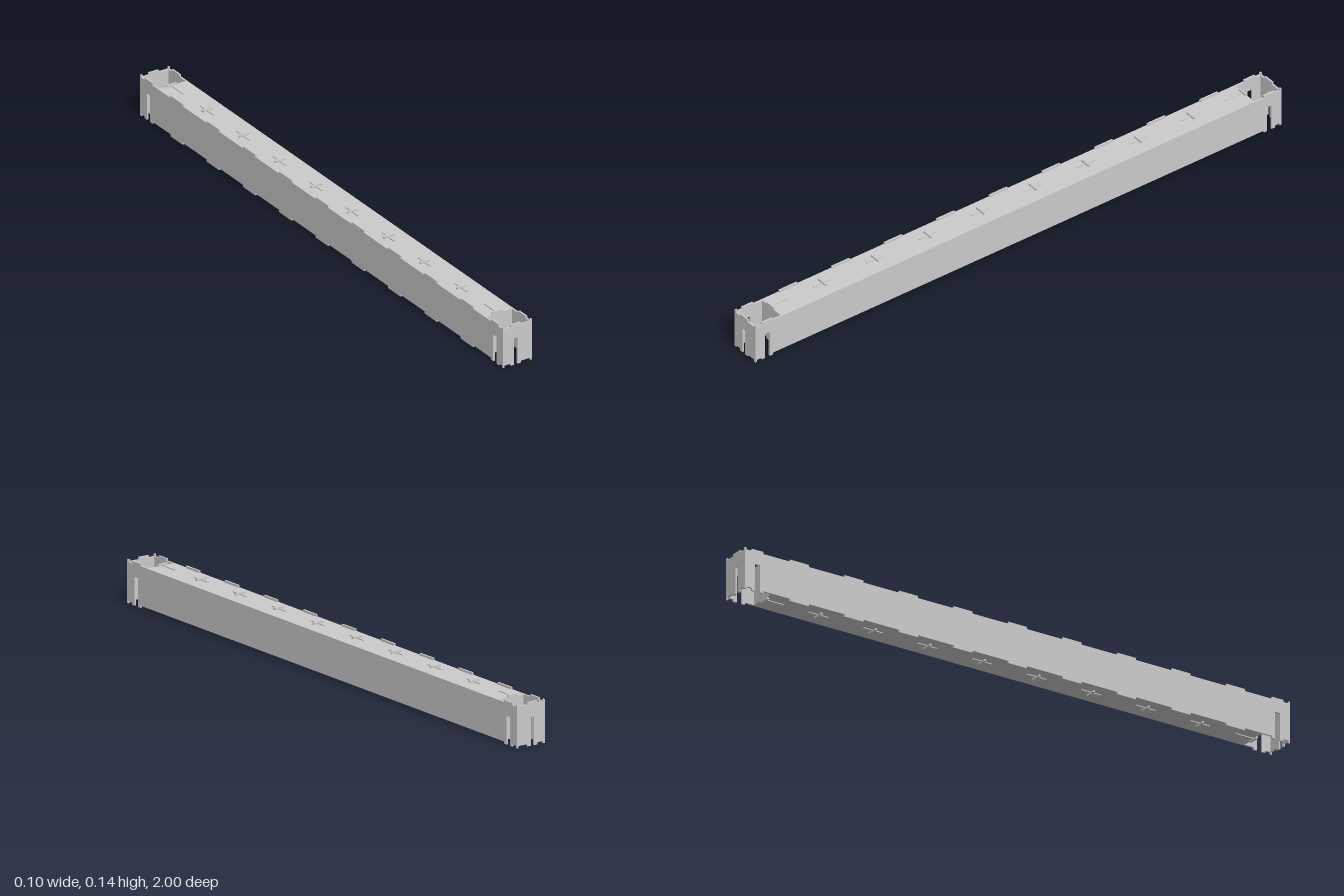
import * as THREE from 'three';

const T = 0.006;               // sheet thickness
const LOW = 0.007, HIGH = 0.132, TOP = 0.139, SLOT_TOP = 0.091;
const W = 0.0525;              // half width
const material = new THREE.MeshStandardMaterial({ color: 0xcccccc, flatShading: true });

// Upright sheet with the same tabs above and below, and slots cut up from the bottom.
// tabs and slots are [start, end] pairs, sorted; every slot lies inside a tab.
function sheet(half, tabs, slots) {
  const s = new THREE.Shape();
  s.moveTo(-half, LOW);
  for (const [a, b] of tabs) {
    s.lineTo(a, LOW);
    s.lineTo(a, 0);
    for (const [c, d] of slots.filter(([c, d]) => c > a && d < b)) {
      s.lineTo(c, 0);
      s.lineTo(c, SLOT_TOP);
      s.lineTo(d, SLOT_TOP);
      s.lineTo(d, 0);
    }
    s.lineTo(b, 0);
    s.lineTo(b, LOW);
  }
  s.lineTo(half, LOW);
  s.lineTo(half, HIGH);
  for (const [a, b] of [...tabs].reverse()) {
    s.lineTo(b, HIGH);
    s.lineTo(b, TOP);
    s.lineTo(a, TOP);
    s.lineTo(a, HIGH);
  }
  s.lineTo(-half, HIGH);
  s.closePath();
  const g = new THREE.ExtrudeGeometry(s, { depth: T, bevelEnabled: false });
  return g.translate(0, 0, -T / 2);
}

export function createModel() {
  const model = new THREE.Group();
  const add = (name, geometry, x = 0, y = 0, z = 0) => {
    const m = new THREE.Mesh(geometry, material);
    m.name = name;
    m.position.set(x, y, z);
    model.add(m);
  };

  // Long sides: tabs and slots near both ends, a row of tabs on one side only
  const endSlots = [[-0.963, -0.945], [0.945, 0.963]];
  const endTabs = [[-1, -0.994], [-0.975, -0.933], [0.933, 0.975], [0.994, 1]];
  const rowTabs = [];
  for (let i = -4; i <= 4; i++) rowTabs.push([i * 0.2 - 0.034, i * 0.2 + 0.034]);
  const tabbed = [...endTabs.slice(0, 2), ...rowTabs, ...endTabs.slice(2)];
  add('plainSide', sheet(1, endTabs, endSlots).rotateY(-Math.PI / 2), W - T / 2);
  add('tabbedSide', sheet(1, tabbed, endSlots).rotateY(-Math.PI / 2), -W + T / 2);

  // Slotted end panels
  const crossTab = [[-0.0245, 0.0125]];
  const endPanel = sheet(W - T, crossTab, [[-0.0125, 0]]);
  for (const s of [-1, 1]) add(s > 0 ? 'frontPanel' : 'backPanel', endPanel, 0, 0, s * (1 - T / 2));

  // Top and bottom sheets, stopping short of the open ends
  const plate = new THREE.BoxGeometry(2 * (W - T), T, 1.8);
  add('topSheet', plate, 0, HIGH - T / 2);
  add('bottomSheet', plate, 0, LOW + T / 2);

  // Inner cross ribs whose tabs pass through the sheets, with low lengthwise keys
  const rib = sheet(W - T, crossTab, []);
  const key = new THREE.BoxGeometry(T, 0.003, 0.07);
  for (let i = 0; i < 10; i++) {
    const z = -0.9 + i * 0.2;
    const end = i === 0 ? 1 : i === 9 ? -1 : 0;
    add('crossRib', rib, 0, 0, z + end * T / 2);
    add('topKey', key, -0.006, HIGH + 0.0015, z + end * 0.035);
    add('bottomKey', key, -0.006, LOW - 0.0015, z + end * 0.035);
  }
  return model;
}
